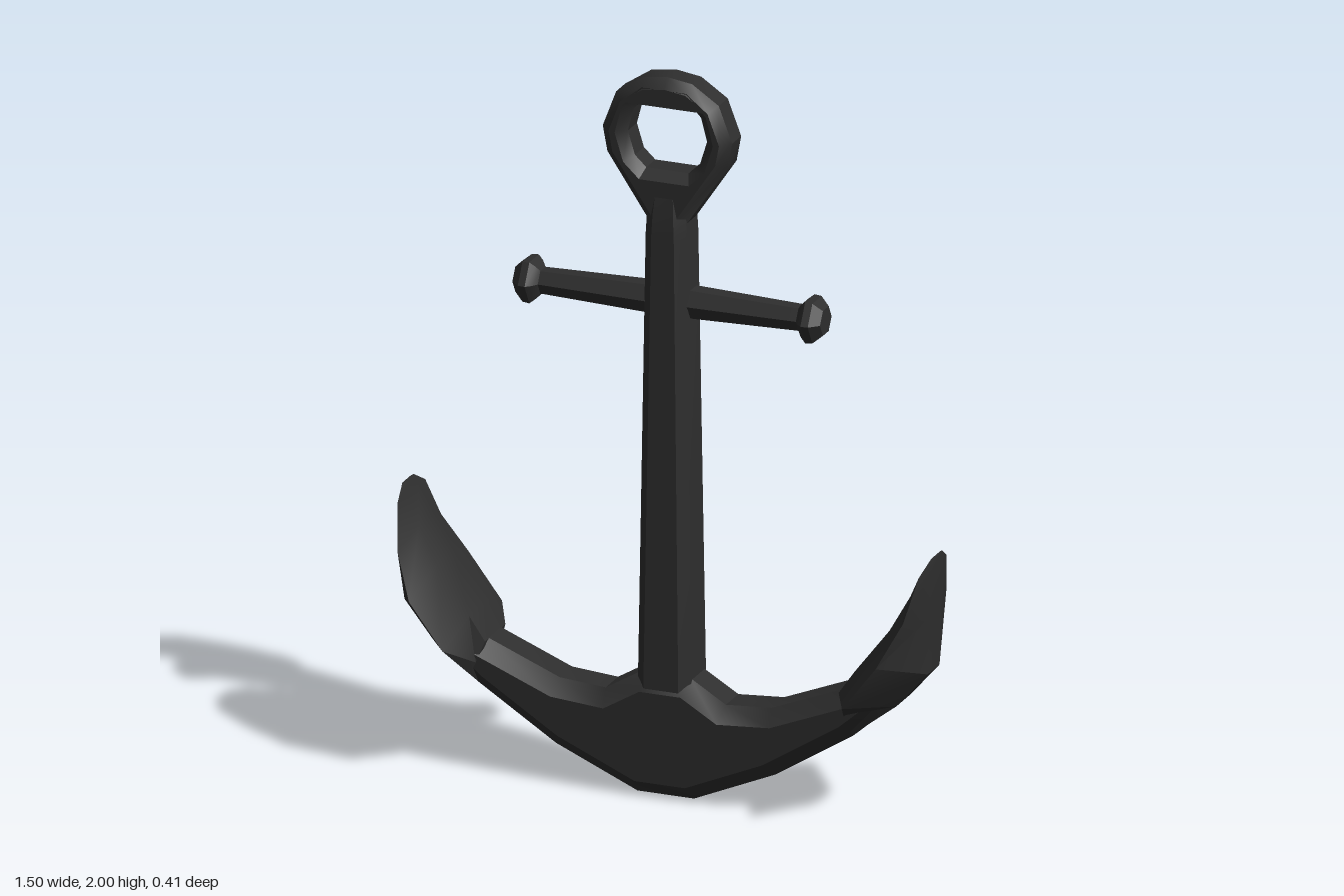
import * as THREE from 'three';
import { toCreasedNormals } from 'three/addons/utils/BufferGeometryUtils.js';

const iron = new THREE.MeshStandardMaterial({ color: 0x2e2e2e });

function part(name, geometry) {
  const mesh = new THREE.Mesh(toCreasedNormals(geometry, 0.5), iron);
  mesh.name = name;
  return mesh;
}

// Skin through equal-length cross-sections, capped at both ends
function loft(sections) {
  const n = sections[0].length;
  const index = [];
  for (let s = 0; s < sections.length - 1; s++) {
    for (let i = 0; i < n; i++) {
      const a = s * n + i, b = s * n + (i + 1) % n;
      index.push(a, b, b + n, a, b + n, a + n);
    }
  }
  const last = (sections.length - 1) * n;
  for (let i = 1; i < n - 1; i++) {
    index.push(0, i + 1, i, last, last + i, last + i + 1);
  }
  const geometry = new THREE.BufferGeometry();
  geometry.setAttribute('position', new THREE.Float32BufferAttribute(sections.flat(2), 3));
  geometry.setIndex(index);
  return geometry.toNonIndexed();
}

// Closed outline from its right half, listed bottom to top
function mirrored(half) {
  const left = half.filter(([x]) => x > 0).map(([x, y]) => [-x, y]).reverse();
  return [...half, ...left].map(([x, y]) => new THREE.Vector2(x, y));
}

// Plate centred on z = 0 with chamfered rims inside the outline
function chamferedPlate(shape, halfDepth, chamfer) {
  const depth = 2 * (halfDepth - chamfer);
  const geometry = new THREE.ExtrudeGeometry(shape, {
    depth, bevelEnabled: true, bevelSegments: 1,
    bevelThickness: chamfer, bevelSize: chamfer, bevelOffset: -chamfer,
  });
  return geometry.translate(0, 0, -depth / 2);
}

// Chamfered rectangle in the horizontal plane
function shankSection([y, w, d]) {
  const c = 0.026;
  return [
    [w, y, d - c], [w, y, c - d], [w - c, y, -d], [c - w, y, -d],
    [-w, y, c - d], [-w, y, d - c], [c - w, y, d], [w - c, y, d],
  ];
}

// Six-sided fluke section: inner face, side edges, outer face
function flukeSection([ix, iy, iw, sx, sy, sz, ox, oy, ow]) {
  return [
    [ix, iy, -iw], [ix, iy, iw], [sx, sy, sz],
    [ox, oy, ow], [ox, oy, -ow], [sx, sy, -sz],
  ];
}

export function createModel() {
  const anchor = new THREE.Group();
  anchor.name = 'anchor';

  // Tapering shank
  anchor.add(part('shank', loft([
    [0.1, 0.076, 0.078], [0.33, 0.075, 0.077], [1.56, 0.058, 0.066],
    [1.62, 0.055, 0.064], [1.72, 0.048, 0.05],
  ].map(shankSection))));

  // Eye and its flared neck
  const eye = new THREE.Shape(mirrored([
    [0.056, 1.5], [0.056, 1.6], [0.17, 1.77], [0.183, 1.84], [0.145, 1.94], [0.07, 1.99], [0, 2],
  ]));
  eye.holes.push(new THREE.Path(mirrored([
    [0.06, 1.74], [0.092, 1.77], [0.112, 1.835], [0.095, 1.9], [0.052, 1.945],
  ])));
  anchor.add(part('eye', chamferedPlate(eye, 0.057, 0.026)));

  // Cross stock with a knob at each end, hexagonal in section
  const half = [[0.045, 0.05], [0.036, 0.365], [0.052, 0.375], [0.066, 0.39], [0.064, 0.41], [0.04, 0.435], [0, 0.435]];
  const profile = [...half.map(([r, t]) => [r, -t]).reverse(), ...half];
  const stock = new THREE.LatheGeometry(profile.map(([r, t]) => new THREE.Vector2(r, t)), 6);
  stock.rotateZ(Math.PI / 2).translate(0, 1.37, 0);
  anchor.add(part('stock', stock));

  // Crown and both arms
  const arms = new THREE.Shape(mirrored([
    [0.08, 0], [0.31, 0.1], [0.53, 0.24], [0.65, 0.345], [0.6, 0.42],
    [0.51, 0.37], [0.3, 0.285], [0.17, 0.275], [0.07, 0.335],
  ]));
  anchor.add(part('arms', chamferedPlate(arms, 0.085, 0.042)));

  // Flukes
  const fluke = loft([
    [0.5, 0.365, 0.07, 0.52, 0.31, 0.087, 0.53, 0.245, 0.05],
    [0.545, 0.43, 0.07, 0.565, 0.375, 0.205, 0.655, 0.342, 0.05],
    [0.64, 0.555, 0.06, 0.66, 0.5, 0.205, 0.74, 0.44, 0.04],
    [0.695, 0.655, 0.05, 0.715, 0.615, 0.15, 0.745, 0.6, 0.04],
    [0.733, 0.73, 0.04, 0.737, 0.728, 0.095, 0.75, 0.73, 0.04],
    [0.745, 0.76, 0.03, 0.747, 0.76, 0.04, 0.75, 0.76, 0.03],
  ].map(flukeSection));
  for (const side of ['left', 'right']) {
    const mesh = part(side + 'Fluke', fluke);
    if (side === 'right') mesh.rotation.y = Math.PI;
    anchor.add(mesh);
  }

  return anchor;
}
